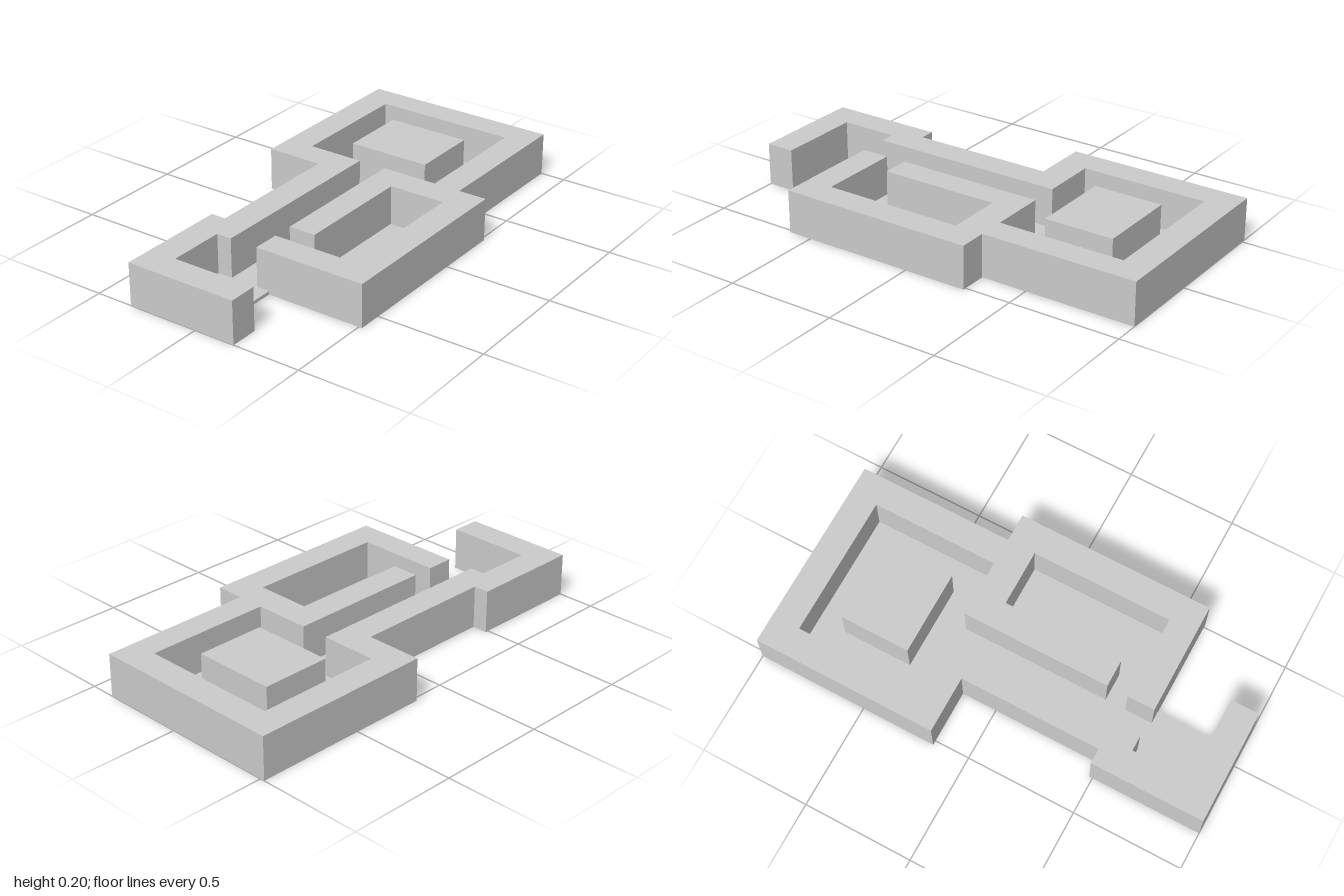
import * as THREE from 'three';

const HEIGHT = 0.195, FLOOR = 0.015;
const material = new THREE.MeshStandardMaterial({ color: 0xcccccc, flatShading: true });

// Extrude a plan outline of [x, z] points upward from y0 to y1
function slab(name, plan, y0, y1) {
  const shape = new THREE.Shape(plan.map(([x, z]) => new THREE.Vector2(x, -z)));
  const geometry = new THREE.ExtrudeGeometry(shape, { depth: y1 - y0, bevelEnabled: false });
  geometry.rotateX(-Math.PI / 2).translate(0, y0, 0);
  const mesh = new THREE.Mesh(geometry, material);
  mesh.name = name;
  return mesh;
}

export function createModel() {
  const group = new THREE.Group();
  group.name = 'floorPlan';

  // Outer boundary, from the entrance wall round to the front room
  const outer = [
    [-0.87, 0.19], [-1, 0.19], [-1, -0.33], [-0.485, -0.33], [-0.485, -0.26],
    [0.16, -0.26], [0.16, -0.52], [1, -0.52], [1, 0.385], [0.29, 0.385],
    [0.29, 0.515], [-0.61, 0.515],
  ];

  // Inner faces: front room, partition, large room, corridor, entrance
  const inner = [
    [-0.61, 0], [-0.485, 0], [-0.485, 0.385], [0.16, 0.385], [0.16, 0.125],
    [-0.39, 0.125], [-0.39, 0], [0.29, 0], [0.29, 0.26], [0.87, 0.26],
    [0.87, -0.39], [0.29, -0.39], [0.29, -0.13], [-0.61, -0.13],
    [-0.61, -0.2], [-0.87, -0.2],
  ];

  // Thin floor, ending in a doorstep between the entrance walls
  group.add(slab('floor', [...outer, [-0.61, 0.06], [-0.87, 0.06]], 0, FLOOR));

  // One continuous wall with openings
  group.add(slab('walls', [...outer, ...inner], FLOOR, HEIGHT));

  // Free-standing block in the large room
  group.add(slab('centreBlock',
    [[0.42, -0.26], [0.74, -0.26], [0.74, 0.125], [0.42, 0.125]], FLOOR, HEIGHT));

  return group;
}
